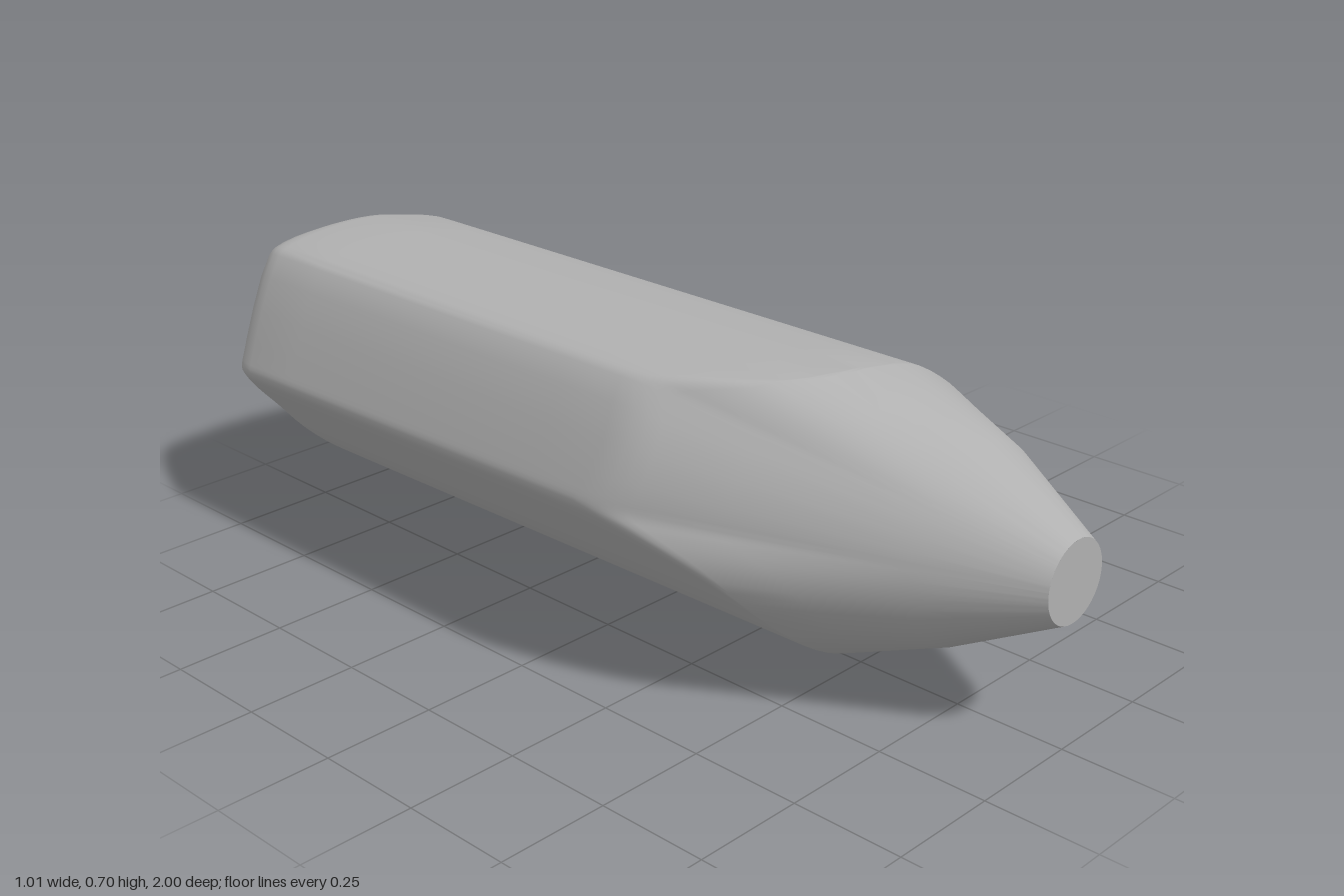
import * as THREE from 'three';
import { toCreasedNormals } from 'three/addons/utils/BufferGeometryUtils.js';

const SEGMENTS = 88;

// Half of the outline, clockwise seen from the front; the other half is it turned by 180 degrees
const backHalf = [[-0.40, 0.668], [-0.365, 0.685], [-0.23, 0.696], [-0.1, 0.69], [0, 0.67], [0.11, 0.64],
  [0.23, 0.568], [0.33, 0.487], [0.41, 0.4], [0.485, 0.318], [0.504, 0.285], [0.495, 0.25]];
const frontHalf = [[-0.385, 0.664], [-0.35, 0.678], [-0.23, 0.682], [-0.1, 0.68], [0, 0.668], [0.11, 0.64],
  [0.23, 0.567], [0.33, 0.477], [0.41, 0.39], [0.475, 0.315], [0.493, 0.285], [0.485, 0.25]];

function outline(half, midY) {
  const turned = half.map(([x, y]) => [-x, 2 * midY - y]);
  const points = [...half, ...turned].map(([x, y]) => new THREE.Vector3(x, y, 0));
  const curve = new THREE.CatmullRomCurve3(points, true, 'centripetal');
  return Array.from({ length: SEGMENTS }, (_, i) => curve.getPoint(i / SEGMENTS));
}

// Skin closed rings, ordered from back to front; optionally close an end with a fan
function skin(rings) {
  const positions = [], index = [];
  rings.forEach(ring => ring.forEach(p => positions.push(p.x, p.y, p.z)));
  for (let r = 0; r < rings.length - 1; r++) {
    for (let i = 0; i < SEGMENTS; i++) {
      const j = (i + 1) % SEGMENTS;
      const a = r * SEGMENTS + i, b = r * SEGMENTS + j;
      index.push(a, a + SEGMENTS, b, b, a + SEGMENTS, b + SEGMENTS);
    }
  }
  const geometry = new THREE.BufferGeometry();
  geometry.setAttribute('position', new THREE.Float32BufferAttribute(positions, 3));
  geometry.setIndex(index);
  return toCreasedNormals(geometry, 0.45);
}

export function createModel() {
  const group = new THREE.Group();
  const grey = new THREE.MeshStandardMaterial({ color: 0xb0b0b0 });
  grey.name = 'grey';

  const back = outline(backHalf, 0.348);
  const front = outline(frontHalf, 0.355);
  const backCentre = new THREE.Vector3(0, 0.348, 0);
  const tipCentre = new THREE.Vector3(0, 0.362, 0);
  const from = (centre, p, radius, z) =>
    p.clone().sub(centre).setLength(radius).add(centre).setZ(z);

  const rings = [];
  // Flat back end and its rounded edge
  rings.push(back.map(() => backCentre.clone().setZ(-1)));
  for (const k of [0.7, 0.85]) {
    rings.push(back.map(p => from(backCentre, p, p.distanceTo(backCentre) * 0.8 * k / 0.85, -1)));
  }
  for (let s = 1; s <= 6; s++) {
    const angle = (s / 6) * Math.PI / 2;
    rings.push(back.map(p => {
      const r = p.distanceTo(backCentre), round = 0.2 * r;
      return from(backCentre, p, r - round * (1 - Math.sin(angle)), -1 + round * (1 - Math.cos(angle)));
    }));
  }

  // Slightly tapering body, cut by the nose along a curved seam
  const seams = front.map(p => {
    const r = p.distanceTo(tipCentre);
    return { p, r, z: 0.52 - 7.5 * Math.max(0, r - 0.3) ** 2, soft: 0.006 + 0.5 * Math.max(0, r - 0.38) };
  });
  const bodyPoint = (i, z) => {
    const start = -0.9, t = (z - start) / (seams[i].z - start);
    return back[i].clone().lerp(front[i], t).setZ(z);
  };
  rings.push(seams.map((s, i) => bodyPoint(i, -0.75)));
  rings.push(seams.map((s, i) => bodyPoint(i, s.z - s.soft - 0.15)));

  // Softened seam: a quadratic bend from the body into the nose
  const nose = s => from(tipCentre, s.p, 0.21, 0.77);
  for (const t of [0, 0.25, 0.5, 0.75, 1]) {
    rings.push(seams.map((s, i) => {
      const a = bodyPoint(i, s.z - s.soft);
      const b = s.p.clone().setZ(s.z);
      const c = b.clone().add(nose(s).sub(b).setLength(s.soft));
      return a.lerp(b, t).lerp(b.clone().lerp(c, t), t);
    }));
  }

  // Nose narrowing to a round tip
  rings.push(seams.map(s => s.p.clone().setZ(s.z).lerp(nose(s), 0.4)));
  rings.push(seams.map(nose));
  rings.push(seams.map(s => from(tipCentre, s.p, 0.088, 1)));

  const body = new THREE.Mesh(skin(rings), grey);
  body.name = 'taperedBody';
  group.add(body);

  // Flat round tip face
  const tip = new THREE.Mesh(new THREE.CircleGeometry(0.088, 40), grey);
  tip.name = 'tipFace';
  tip.position.set(0, 0.362, 1);
  group.add(tip);

  return group;
}
